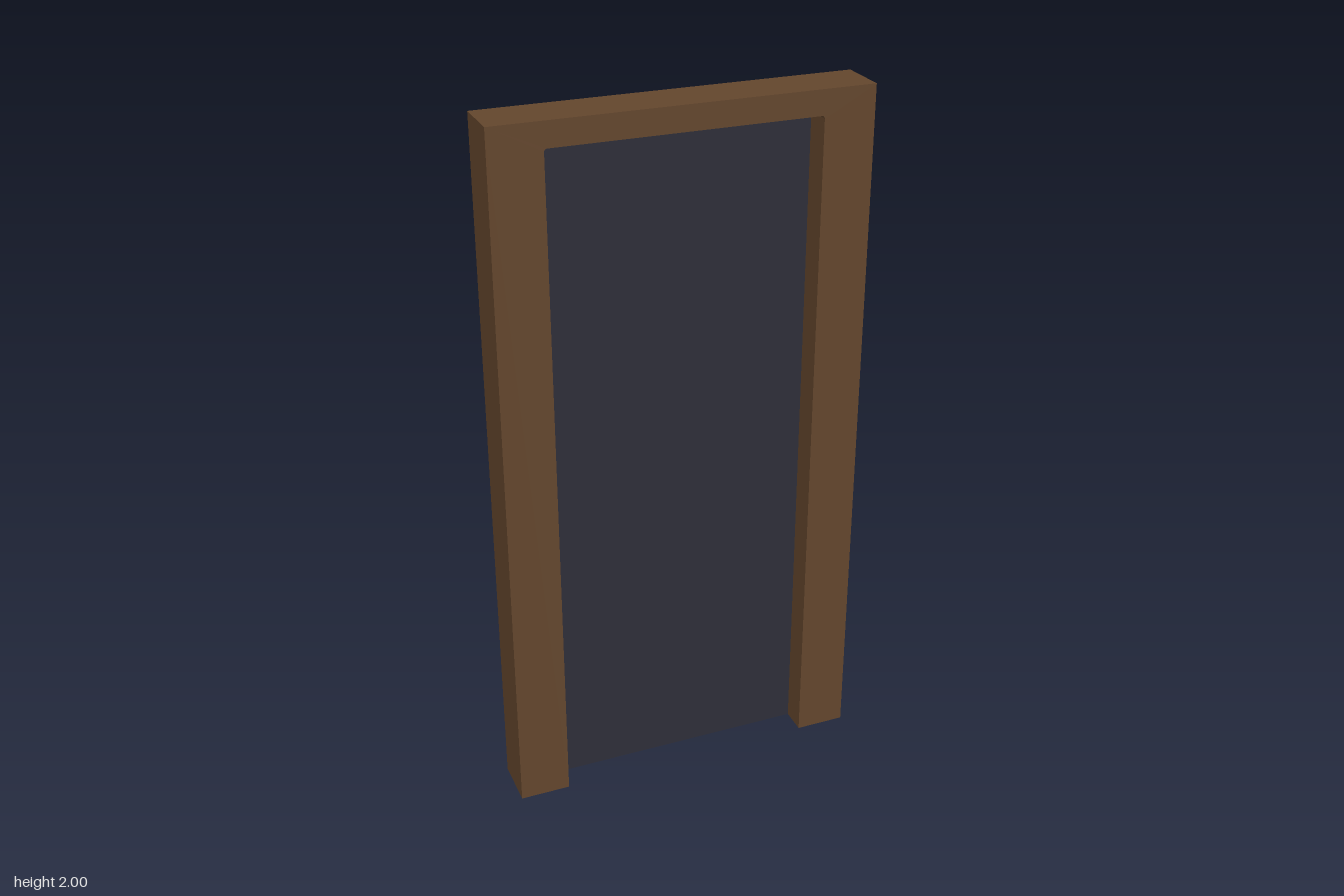
import * as THREE from 'three';

const WIDTH = 0.518, HEIGHT = 2, DEPTH = 0.147;

// Traces an upright panel outline with rounded top corners, standing on y = 0.
function panelPoints(w, h, r) {
  const pts = [new THREE.Vector2(-w, 0)];
  for (const [cx, start] of [[-w + r, Math.PI], [w - r, Math.PI / 2]]) {
    for (let i = 0; i <= 6; i++) {
      const a = start - (i / 6) * Math.PI / 2;
      pts.push(new THREE.Vector2(cx + r * Math.cos(a), h - r + r * Math.sin(a)));
    }
  }
  pts.push(new THREE.Vector2(w, 0));
  return pts;
}

function slab(name, points, z0, z1, material) {
  const geo = new THREE.ExtrudeGeometry(new THREE.Shape(points), { depth: z1 - z0, bevelEnabled: false });
  geo.translate(0, 0, z0);
  const mesh = new THREE.Mesh(geo, material);
  mesh.name = name;
  return mesh;
}

// Two jambs and a header around an opening that reaches the floor.
function surround(w, h, r) {
  return [
    ...panelPoints(w, h, r),
    new THREE.Vector2(WIDTH, 0), new THREE.Vector2(WIDTH, HEIGHT),
    new THREE.Vector2(-WIDTH, HEIGHT), new THREE.Vector2(-WIDTH, 0),
  ];
}

export function createModel() {
  const wood = new THREE.MeshStandardMaterial({ color: 0x63462d });
  wood.name = 'brown wood';
  const dark = new THREE.MeshStandardMaterial({ color: 0x2e2e38 });
  dark.name = 'dark slate';

  const group = new THREE.Group();
  group.name = 'framedDoor';
  const zBack = -DEPTH / 2, zFront = DEPTH / 2, zStep = -0.004;

  // Frame: narrow opening in front, wider rebate behind that holds the panel
  const frame = new THREE.Group();
  frame.name = 'frame';
  frame.add(
    slab('frontFrame', surround(0.374, 1.931, 0.008), zStep, zFront, wood),
    slab('rearFrame', surround(0.443, 1.925, 0.02), zBack, zStep, wood),
  );
  group.add(frame);

  // Door panel, flush with the back of the frame
  group.add(slab('doorPanel', panelPoints(0.443, 1.925, 0.02), zBack, zStep, dark));
  return group;
}
